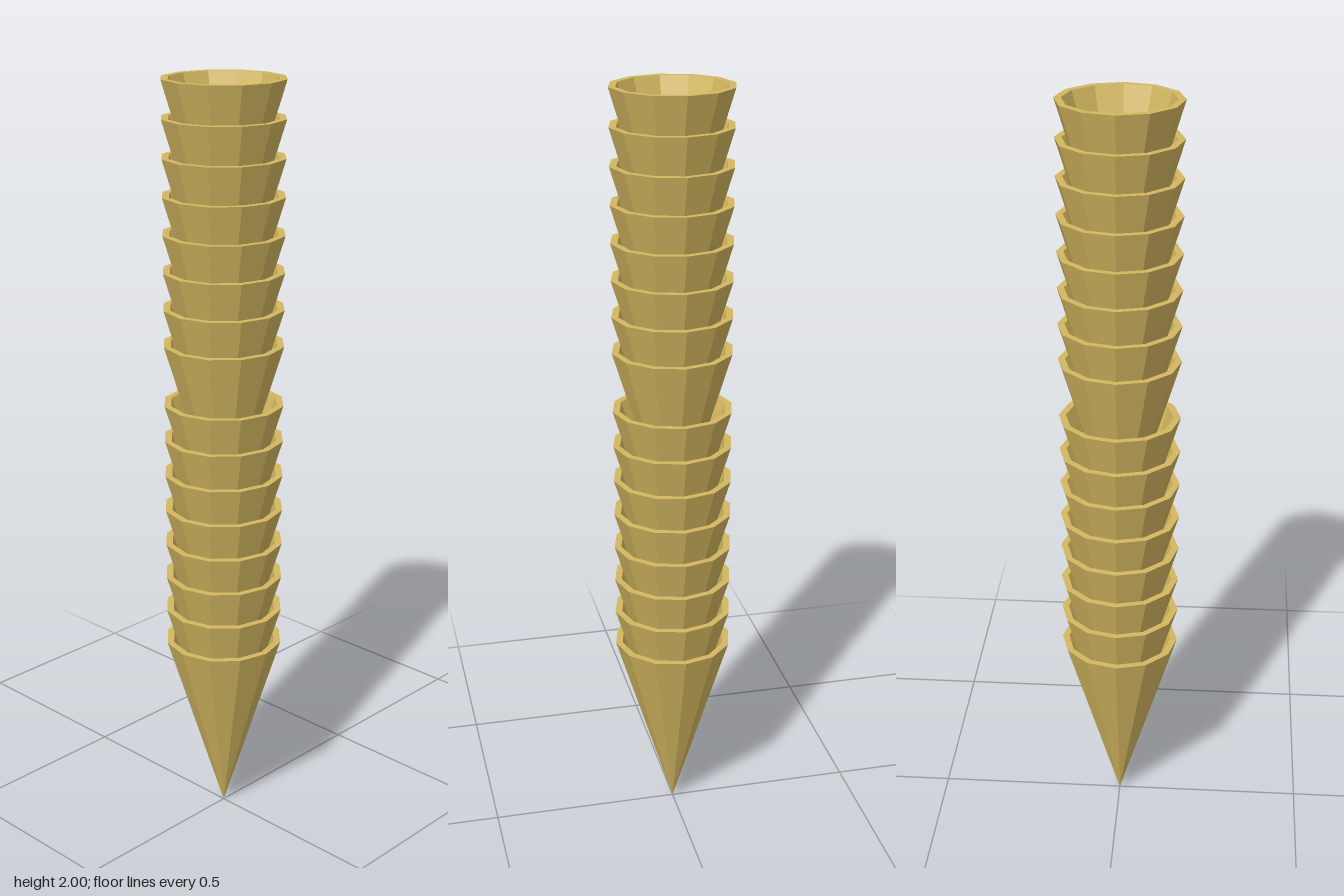
import * as THREE from 'three';

const HEIGHT = 0.511; // tip to rim of one cone
const RADIUS = 0.157;

// One wafer cone: outer wall, flat rim, recessed cup and its floor
function coneGeometry() {
  const profile = [
    [0, 0],
    [RADIUS, HEIGHT],
    [0.139, HEIGHT],
    [0.112, HEIGHT - 0.085],
    [0, HEIGHT - 0.085],
  ].map(([r, y]) => new THREE.Vector2(r, y));
  return new THREE.LatheGeometry(profile, 12);
}

// Column of nested cones, listed from the lowest rim upwards
function coneStack(name, geometry, material, lowestRim, highestRim, count) {
  const stack = new THREE.Group();
  stack.name = name;
  for (let i = 0; i < count; i++) {
    const cone = new THREE.Mesh(geometry, material);
    cone.name = `cone${i + 1}`;
    const rim = THREE.MathUtils.lerp(lowestRim, highestRim, i / (count - 1));
    cone.position.y = rim - HEIGHT;
    stack.add(cone);
  }
  return stack;
}

export function createModel() {
  const model = new THREE.Group();
  model.name = 'stackedCones';
  const wafer = new THREE.MeshStandardMaterial({ color: 0xd4b860, flatShading: true });
  const geometry = coneGeometry();

  // Two packs of eight, the upper one sitting a little higher in the lower
  model.add(coneStack('lowerStack', geometry, wafer, HEIGHT, 1.18, 8));
  model.add(coneStack('upperStack', geometry, wafer, 1.337, 2, 8));
  return model;
}
